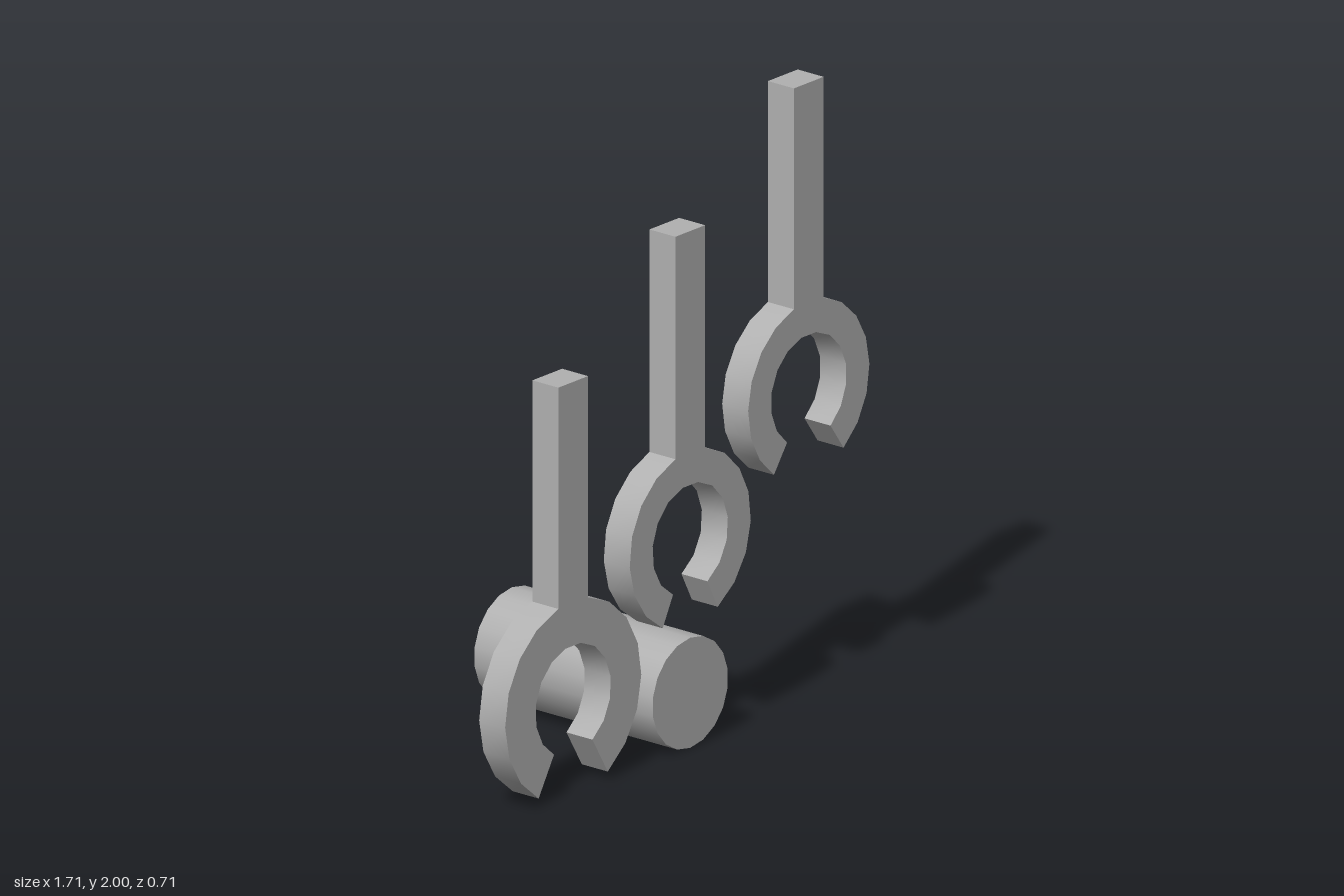
import * as THREE from 'three';
import { toCreasedNormals } from 'three/addons/utils/BufferGeometryUtils.js';

const INNER = 0.178, STEM = 0.07, BACK = 0.253, FRONT = 0.357;

// Points on an arc about the origin; angles are measured clockwise from straight up
function arc(radius, from, to, segments) {
  return Array.from({ length: segments + 1 }, (_, i) => {
    const a = from + (to - from) * i / segments;
    return new THREE.Vector2(radius * Math.sin(a), radius * Math.cos(a));
  });
}

// Open ring with a straight stem rising from its top
function clipGeometry(outer, gapDegrees, stemTop) {
  const end = Math.PI - THREE.MathUtils.degToRad(gapDegrees);
  const join = Math.asin(STEM / outer);
  const shape = new THREE.Shape([
    new THREE.Vector2(-STEM, stemTop),
    new THREE.Vector2(STEM, stemTop),
    ...arc(outer, join, end, 7),
    ...arc(INNER, end, -end, 13),
    ...arc(outer, -end, -join, 7),
  ]);
  const geometry = new THREE.ExtrudeGeometry(shape, { depth: FRONT - BACK, bevelEnabled: false });
  return toCreasedNormals(geometry, 0.6);
}

export function createModel() {
  const group = new THREE.Group();
  const grey = new THREE.MeshStandardMaterial({ color: 0xb0b0b0 });
  grey.name = 'grey';

  // Three clips stepping up from right to left
  const clips = [
    { name: 'wideClip', x: -0.54, y: 0.303, outer: 0.32, gap: 30.5, top: 1.33 },
    { name: 'middleClip', x: 0.01, y: 0.675, outer: 0.285, gap: 27, top: 1.67 },
    { name: 'upperClip', x: 0.567, y: 1.01, outer: 0.285, gap: 35, top: 2 },
  ];
  for (const c of clips) {
    const clip = new THREE.Mesh(clipGeometry(c.outer, c.gap, c.top - c.y), grey);
    clip.name = c.name;
    clip.position.set(c.x, c.y, BACK);
    group.add(clip);
  }

  // Round rod lying along z
  const rod = new THREE.Mesh(new THREE.CylinderGeometry(0.178, 0.178, 2 * FRONT, 18), grey);
  rod.name = 'rod';
  rod.rotation.x = Math.PI / 2;
  rod.position.set(0.01, 0.178, 0);
  group.add(rod);

  return group;
}
